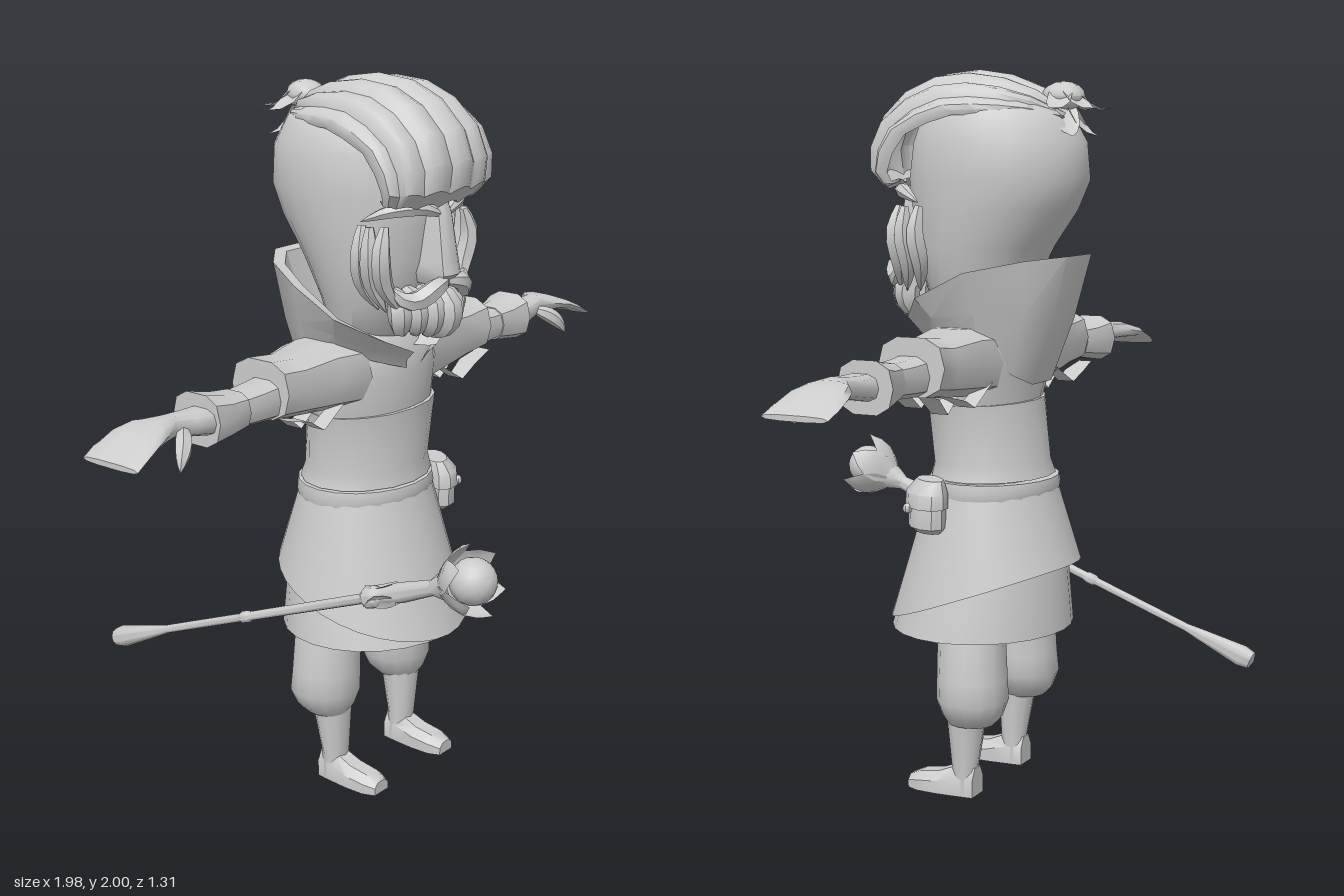
import * as THREE from 'three';
import { toCreasedNormals } from 'three/addons/utils/BufferGeometryUtils.js';

const V = (x, y, z) => new THREE.Vector3(x, y, z);
const clay = new THREE.MeshStandardMaterial({ color: 0xcccccc, side: THREE.DoubleSide });
clay.name = 'light grey';

function add(parent, name, geometry, crease = 0.7) {
  const mesh = new THREE.Mesh(toCreasedNormals(geometry, crease), clay);
  mesh.name = name;
  parent.add(mesh);
  return mesh;
}

// Skin over a list of equal-length cross-sections
function loft(rings, { closed = true, caps = false } = {}) {
  const n = rings[0].length, pos = [], idx = [];
  rings.forEach(r => r.forEach(p => pos.push(p.x, p.y, p.z)));
  for (let i = 0; i < rings.length - 1; i++) {
    for (let j = 0; j < (closed ? n : n - 1); j++) {
      const a = i * n + j, b = i * n + (j + 1) % n;
      idx.push(a, b, b + n, a, b + n, a + n);
    }
  }
  if (caps) {
    const e = (rings.length - 1) * n;
    for (let j = 1; j < n - 1; j++) idx.push(0, j + 1, j, e, e + j, e + j + 1);
  }
  const g = new THREE.BufferGeometry();
  g.setAttribute('position', new THREE.Float32BufferAttribute(pos, 3));
  g.setIndex(idx);
  g.computeVertexNormals();
  return g;
}

// Horizontal ring: height, half width, front z, back z
const ringY = ([y, rx, zf, zb, cx = 0], n = 20) => Array.from({ length: n }, (_, i) => {
  const a = i / n * Math.PI * 2;
  return V(cx + rx * Math.sin(a), y, (zf + zb) / 2 + (zf - zb) / 2 * Math.cos(a));
});
const stack = (rows, n) => loft(rows.map(r => ringY(r, n)), { caps: true });

// Upright ring across an arm: x, bottom, top, back z, front z
const ringX = ([x, y0, y1, z0, z1], n = 10) => Array.from({ length: n }, (_, i) => {
  const a = (i + 0.5) / n * Math.PI * 2, sq = v => Math.sign(v) * Math.abs(v) ** 0.75;
  return V(x, (y0 + y1) / 2 + (y1 - y0) / 2 * sq(Math.cos(a)), (z0 + z1) / 2 + (z1 - z0) / 2 * sq(Math.sin(a)));
});
const armLoft = rows => loft(rows.map(r => ringX(r)), { caps: true });

// Tapered lock of hair along a curve
function lock(points, r, n = 6) {
  const curve = new THREE.CatmullRomCurve3(points.map(p => V(...p)));
  const steps = 8, f = curve.computeFrenetFrames(steps);
  return loft(Array.from({ length: steps + 1 }, (_, i) => {
    const t = i / steps, w = r * (0.04 + Math.sin(Math.PI * (0.1 + 0.9 * t)) ** 0.8), c = curve.getPointAt(t);
    return Array.from({ length: n }, (_, j) => {
      const a = j / n * Math.PI * 2;
      return c.clone().addScaledVector(f.normals[i], w * Math.cos(a)).addScaledVector(f.binormals[i], w * Math.sin(a));
    });
  }), { caps: true });
}

// Pointed leaf rising along y, curling toward +z
const leaf = (len, w, curl) => loft([0, 0.25, 0.5, 0.75, 1].map(t => {
  const s = w * Math.sin(Math.PI * (0.2 + 0.8 * t)), z = curl * Math.sin(t * 2.2);
  return [V(-s, t * len, z - s * 0.3), V(0, t * len, z), V(s, t * len, z - s * 0.3)];
}), { closed: false });

function buildHead(g) {
  add(g, 'head', stack([[1.26, 0.11, 0.08, -0.1], [1.4, 0.16, 0.16, -0.13], [1.52, 0.19, 0.195, -0.19], [1.62, 0.205, 0.205, -0.26],
    [1.7, 0.215, 0.215, -0.295], [1.8, 0.215, 0.2, -0.285], [1.88, 0.19, 0.17, -0.24], [1.94, 0.13, 0.12, -0.15], [1.965, 0.03, 0.03, -0.03]], 24), 1.2);

  // Ridged hair roll: centre z,y then side z,y and half width, front to back
  const rows = [[0.2, 1.70, 0.17, 1.70, 0.19], [0.26, 1.68, 0.19, 1.69, 0.205], [0.3, 1.72, 0.2, 1.72, 0.22], [0.31, 1.79, 0.18, 1.77, 0.225],
    [0.28, 1.87, 0.14, 1.82, 0.225], [0.21, 1.94, 0.07, 1.85, 0.22], [0.12, 1.98, 0, 1.87, 0.21], [0.02, 1.99, -0.07, 1.87, 0.195],
    [-0.08, 1.975, -0.13, 1.87, 0.17], [-0.17, 1.94, -0.19, 1.87, 0.12], [-0.25, 1.88, -0.25, 1.86, 0.04]];
  const across = 28;
  add(g, 'hairRoll', loft(rows.map(([cz, cy, ez, ey, w]) => Array.from({ length: across + 1 }, (_, j) => {
    const u = j / across, a = (u - 0.5) * Math.PI, ridge = 0.95 + 0.06 * Math.abs(Math.sin(u * 7 * Math.PI)), k = Math.cos(a);
    return V(w * Math.sin(a) * ridge, ey + (cy - ey) * k + (ridge - 0.99) * 0.25 * k, (ez + (cz - ez) * k) * (0.3 + 0.7 * ridge));
  })), { closed: false }), 0.55);

  // Leafy knot at the back of the hair
  const knot = new THREE.Group();
  knot.name = 'hairKnot';
  knot.position.set(0, 1.92, -0.23);
  const core = add(knot, 'knotCore', new THREE.SphereGeometry(0.05, 10, 8));
  core.scale.set(1, 0.8, 1.2);
  for (let i = 0; i < 7; i++) {
    const turn = (i - 3) * 0.45, holder = new THREE.Group();
    holder.rotation.set(0, Math.PI + turn, 0);
    const l = add(holder, 'knotLeaf', leaf(0.13, 0.034, 0.05));
    l.position.set(0, 0.03 - (i % 2) * 0.04, 0.01);
    l.rotation.x = 1.75 + (i % 2) * 0.3;
    knot.add(holder);
  }
  g.add(knot);

  add(g, 'nose', loft([[1.69, 0.022, 0.235], [1.65, 0.028, 0.25], [1.52, 0.036, 0.27], [1.49, 0.038, 0.275], [1.46, 0.025, 0.24]].map(([y, w, z]) =>
    [V(-w * 1.2, y, 0.17), V(-w, y, z - 0.01), V(-w * 0.5, y, z), V(w * 0.5, y, z), V(w, y, z - 0.01), V(w * 1.2, y, 0.17)]), { caps: true }));
  for (const s of [1, -1]) {
    add(g, 'brow', lock([[0.02 * s, 1.65, 0.235], [0.09 * s, 1.67, 0.215], [0.15 * s, 1.665, 0.17], [0.19 * s, 1.64, 0.11]], 0.02));
    add(g, 'moustache', lock([[0, 1.47, 0.245], [0.05 * s, 1.465, 0.255], [0.1 * s, 1.43, 0.225], [0.14 * s, 1.44, 0.2], [0.165 * s, 1.48, 0.18]], 0.028));
    // Whiskers down the cheeks
    for (const [o, z] of [[0, 0.11], [0.012, 0.145], [-0.012, 0.175]]) {
      add(g, 'whisker', lock([[(0.185 + o) * s, 1.63, z], [(0.2 + o * 0.4) * s, 1.56, z + 0.005], [(0.18 + o * 0.4) * s, 1.48, z], [(0.14 + o) * s, 1.40, z + 0.02]], 0.027));
    }
  }
  // Beard of overlapping locks
  for (let i = -3; i <= 3; i++) {
    const x = i * 0.034, b = 0.03 * Math.abs(i);
    add(g, 'beardLock', lock([[x, 1.45, 0.2 - b * 0.6], [x * 1.15, 1.41, 0.255 - b * 0.8], [x * 1.05, 1.35, 0.25 - b * 0.8], [x * 0.7, 1.31 + b * 0.3, 0.2 - b * 0.4]], 0.034));
  }
}

function buildBody(g) {
  add(g, 'torso', stack([[0.85, 0.19, 0.13, -0.17], [0.95, 0.19, 0.12, -0.165], [1.1, 0.215, 0.13, -0.14], [1.2, 0.24, 0.135, -0.165],
    [1.28, 0.235, 0.12, -0.165], [1.32, 0.17, 0.09, -0.13]], 20), 0.9);
  add(g, 'bodice', stack([[0.89, 0.205, 0.145, -0.19], [0.93, 0.195, 0.135, -0.175], [1.1, 0.22, 0.142, -0.15]], 16));
  add(g, 'belt', stack([[0.84, 0.208, 0.15, -0.2], [0.86, 0.212, 0.155, -0.205], [0.885, 0.208, 0.15, -0.2]], 20));

  // Standing collar, open at the throat; each pair is a foot point and a tip point
  const half = [[0.03, 1.22, 0.14, 0.05, 1.275, 0.18], [0.12, 1.25, 0.12, 0.17, 1.33, 0.155], [0.19, 1.28, 0.04, 0.265, 1.39, 0.08],
    [0.19, 1.24, -0.07, 0.26, 1.46, -0.06], [0.13, 1.18, -0.145, 0.18, 1.49, -0.2], [0.06, 1.15, -0.17, 0.08, 1.5, -0.28]];
  const rows = [...half, ...half.map(([a, b, c, d, e, f]) => [-a, b, c, -d, e, f]).reverse()];
  add(g, 'collar', loft(rows.map(([a, b, c, d, e, f]) =>
    [V(a, b, c), V((a + d) / 2, (b + e) / 2, (c + f) / 2 - 0.01), V(d, e, f), V(d * 0.88, e - 0.005, f * 0.88), V(a * 0.85, b + 0.05, c * 0.8)]), { closed: false }), 0.6);

  // Skirt: flared lower layer, and an upper layer whose hem dips to the front
  add(g, 'lowerSkirt', loft([[0.86, 0.19, 0.13, -0.18], [0.65, 0.245, 0.195, -0.225], [0.46, 0.28, 0.26, -0.24]].map(r => ringY(r, 24))), 0.9);
  const skirt = t => Array.from({ length: 32 }, (_, i) => {
    const a = i / 32 * Math.PI * 2, c = Math.cos(a), hem = 0.65 - 0.185 * ((1 + c) / 2) ** 1.2;
    const y = 0.87 + (hem - 0.87) * t, d = (0.87 - y) / 0.4;
    return V((0.2 + 0.09 * d) * Math.sin(a), y, -0.02 + c * (c > 0 ? 0.165 + 0.125 * d : 0.175 + 0.13 * d));
  });
  add(g, 'upperSkirt', loft([0, 0.33, 0.66, 1].map(skirt)), 0.9);

  // Belt pouch with flap and button
  const pouch = new THREE.Group();
  pouch.name = 'pouch';
  pouch.position.set(0.205, 0.82, 0.07);
  pouch.rotation.y = 0.85;
  add(pouch, 'pouchBag', stack([[-0.07, 0.055, 0.035, -0.03], [-0.055, 0.075, 0.055, -0.04], [0.02, 0.08, 0.055, -0.04], [0.06, 0.06, 0.03, -0.03]], 10));
  add(pouch, 'pouchFlap', stack([[0, 0.086, 0.063, -0.045], [0.04, 0.085, 0.06, -0.045], [0.075, 0.06, 0.03, -0.035]], 10));
  add(pouch, 'pouchButton', new THREE.SphereGeometry(0.014, 8, 6)).position.set(0, -0.002, 0.064);
  g.add(pouch);
}

function buildSide(g) {
  add(g, 'sleeve', armLoft([[0.14, 1.12, 1.31, -0.13, 0.11], [0.25, 1.13, 1.315, -0.13, 0.1], [0.36, 1.14, 1.3, -0.105, 0.08], [0.45, 1.15, 1.31, -0.11, 0.085]]));
  // Pointed drapes below the sleeve
  for (const z of [-0.1, -0.02, 0.06]) {
    const p = (x, y, d) => [V(x, y, z - d), V(x, y, z + d)];
    add(g, 'sleeveDrape', loft([p(0.2, 1.17, 0.02), p(0.31, 1.085 + Math.abs(z) * 0.3, 0.025), p(0.37, 1.14, 0.03), p(0.45, 1.16, 0.02)], { closed: false }));
  }
  add(g, 'forearm', armLoft([[0.4, 1.15, 1.265, -0.07, 0.06], [0.5, 1.155, 1.255, -0.065, 0.055], [0.6, 1.16, 1.25, -0.055, 0.05]]));
  add(g, 'cuff', armLoft([[0.56, 1.155, 1.255, -0.06, 0.055], [0.62, 1.145, 1.26, -0.075, 0.06], [0.685, 1.135, 1.275, -0.095, 0.065]]));
  add(g, 'hand', armLoft([[0.66, 1.165, 1.24, -0.055, 0.055], [0.74, 1.18, 1.24, -0.055, 0.045], [0.8, 1.19, 1.245, -0.04, 0.03], [0.85, 1.19, 1.242, -0.08, 0.05],
    [0.9, 1.19, 1.225, -0.1, 0.07], [0.95, 1.175, 1.2, -0.105, 0.08], [0.99, 1.16, 1.175, -0.1, 0.085]]), 0.9);
  add(g, 'thumb', lock([[0.77, 1.21, 0.02], [0.81, 1.185, 0.06], [0.84, 1.15, 0.08], [0.85, 1.13, 0.085]], 0.022));

  // Baggy trousers gathered at the knee, with boots
  add(g, 'trouserLeg', stack([[0.21, 0.055, 0.03, -0.1, 0.165], [0.235, 0.08, 0.045, -0.125, 0.165], [0.28, 0.102, 0.06, -0.14, 0.165],
    [0.34, 0.1, 0.06, -0.135, 0.162], [0.46, 0.09, 0.06, -0.13, 0.16], [0.62, 0.085, 0.06, -0.12, 0.12]], 14), 0.8);
  add(g, 'bootShaft', stack([[0, 0.04, 0.02, -0.05, 0.155], [0.08, 0.04, 0.025, -0.05, 0.155], [0.22, 0.056, 0.035, -0.075, 0.16], [0.25, 0.058, 0.035, -0.08, 0.16]], 10));
  add(g, 'bootFoot', loft([[-0.05, 0.034, 0.08], [0, 0.04, 0.085], [0.06, 0.045, 0.06], [0.12, 0.044, 0.05], [0.155, 0.03, 0.035]].map(([z, w, h]) =>
    [V(0.155 - w, 0, z), V(0.155 - w, h * 0.6, z), V(0.155 - w * 0.5, h, z), V(0.155 + w * 0.5, h, z), V(0.155 + w, h * 0.6, z), V(0.155 + w, 0, z)]), { caps: true }));
}

function buildStaff(g) {
  const staff = new THREE.Group(), tail = V(-0.375, 0.335, -0.65), axis = V(-0.33, 0.81, 0.58).sub(tail), len = axis.length();
  staff.name = 'staff';
  staff.position.copy(tail);
  staff.quaternion.setFromUnitVectors(V(0, 1, 0), axis.normalize());
  add(staff, 'staffShaft', new THREE.LatheGeometry([[0, -0.02], [0.026, -0.012], [0.032, 0.02], [0.018, 0.15], [0.012, 0.2], [0.012, 0.5], [0.017, 0.51], [0.017, 0.53],
    [0.013, 0.54], [0.014, 0.95], [0.03, 0.97], [0.03, 1], [0.022, 1.02], [0.028, 1.08], [0.021, 1.19], [0.035, 1.22], [0.05, 1.27], [0, 1.29]]
    .map(p => new THREE.Vector2(...p)), 10));
  add(staff, 'staffOrb', new THREE.SphereGeometry(0.062, 16, 12)).position.y = len;
  for (let i = 0; i < 6; i++) {
    const spoke = new THREE.Group();
    spoke.rotation.y = i * Math.PI / 3;
    const petal = add(spoke, 'staffPetal', leaf(0.13, 0.045, 0.04));
    petal.position.set(0, 1.23, 0.035);
    petal.rotation.x = 0.22;
    if (i % 2) {
      const sepal = add(spoke, 'staffSepal', leaf(0.1, 0.024, 0.02));
      sepal.position.set(0, 1.07, 0.024);
      sepal.rotation.x = Math.PI - 0.25;
    }
    staff.add(spoke);
  }
  g.add(staff);
}

export function createModel() {
  const model = new THREE.Group();
  model.name = 'figure';
  buildHead(model);
  buildBody(model);
  for (const s of [1, -1]) {
    const side = new THREE.Group();
    side.name = s > 0 ? 'leftLimbs' : 'rightLimbs';
    side.scale.x = s;
    buildSide(side);
    model.add(side);
  }
  buildStaff(model);
  return model;
}
